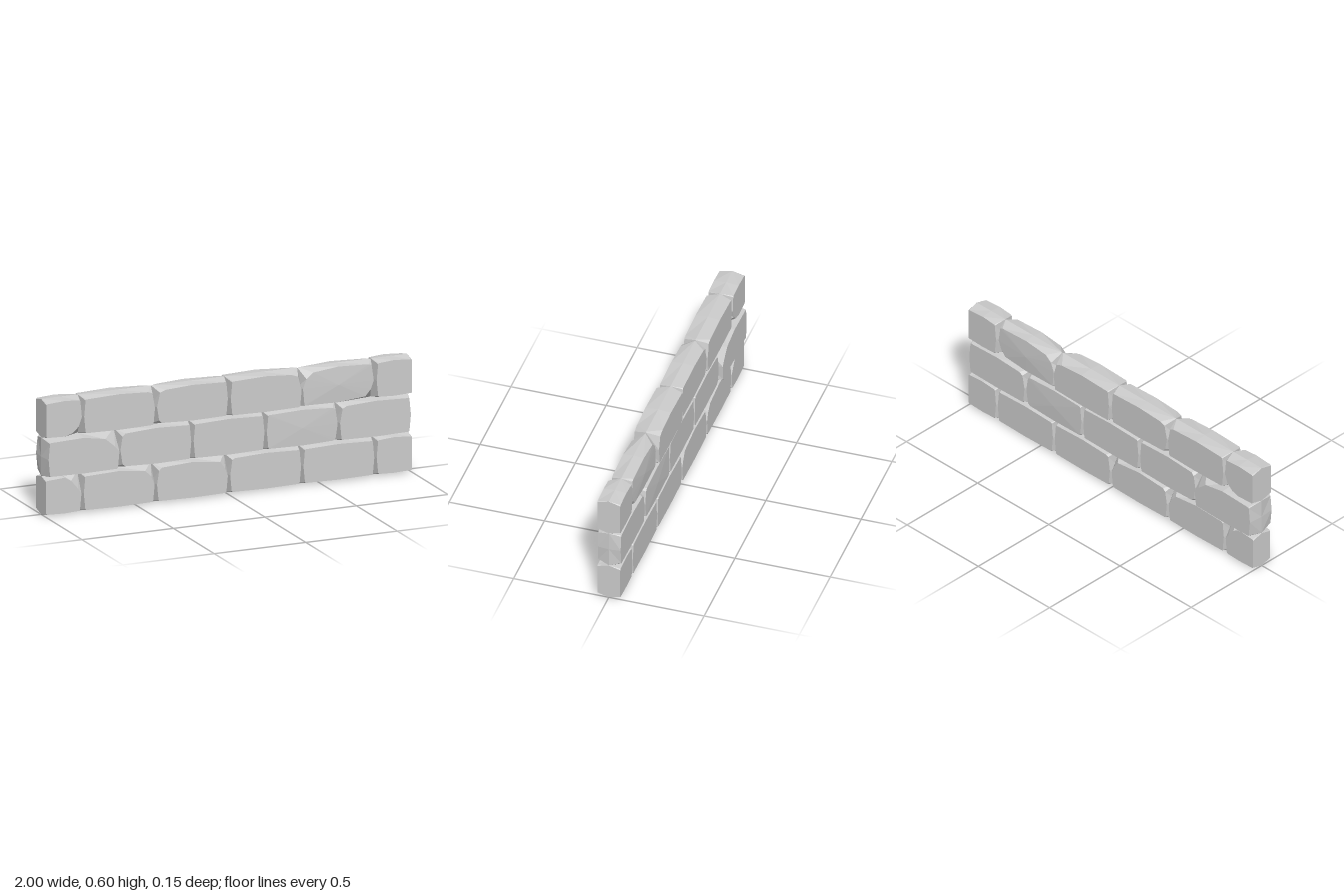
import * as THREE from 'three';

// One stone block: a full outline at z = 0 and inset faces at z = +-hz.
// chips: [cx, cy] cut from the tl, tr, bl, br corners of the faces.
function blockGeometry({ x0, x1, y0, y1, hz, swell = 0, flatL, flatR, chips = {} }) {
  const insetL = flatL ? 0 : 0.013, insetR = flatR ? 0 : 0.013, insetY = 0.011;
  const xm = (x0 + x1) / 2, ym = (y0 + y1) / 2;

  // twelve points, counter-clockwise: two per corner and one per side
  const outline = (k, z) => {
    const l = x0 + insetL * k, r = x1 - insetR * k;
    const b = y0 + insetY * k, t = y1 - insetY * k;
    const corner = (name, x, y, sx, sy) => {
      const [cx, cy] = chips[name] || [0.006, 0.006];
      const cut = k === 1 ? 1 : 0.12;
      const flat = (sx > 0 && flatL) || (sx < 0 && flatR);
      const dx = cx * cut, dy = cy * cut, f = flat ? 0 : 0.25;
      return {
        h: [x + sx * dx, y + sy * dy * 0.25],
        v: [x + sx * dx * f, y + sy * dy],
      };
    };
    const bl = corner('bl', l, b, 1, 1), br = corner('br', r, b, -1, 1);
    const tr = corner('tr', r, t, -1, -1), tl = corner('tl', l, t, 1, -1);
    return [
      bl.v, bl.h, [xm, b - 0.002 * k], br.h, br.v, [r + insetR * k * 0.5, ym],
      tr.v, tr.h, [xm, t + 0.005 * k], tl.h, tl.v, [l - insetL * k * 0.5, ym],
    ].map(([x, y]) => new THREE.Vector3(x, y, z));
  };

  const positions = [];
  const tri = (...points) => points.forEach((p) => positions.push(p.x, p.y, p.z));
  const middle = outline(0, 0);
  for (const side of [1, -1]) {
    const face = outline(1, side * hz);
    const centre = new THREE.Vector3(xm, ym, side * (hz + swell));
    const add = (a, b, c) => (side > 0 ? tri(a, b, c) : tri(a, c, b));
    for (let i = 0; i < 12; i++) {
      const j = (i + 1) % 12;
      add(centre, face[i], face[j]);
      add(face[i], middle[i], middle[j]);
      add(face[i], middle[j], face[j]);
    }
  }
  // flat cut ends close themselves because both outlines share the same x
  const geometry = new THREE.BufferGeometry();
  geometry.setAttribute('position', new THREE.Float32BufferAttribute(positions, 3));
  geometry.computeVertexNormals();
  return geometry;
}

export function createModel() {
  const wall = new THREE.Group();
  wall.name = 'stoneWall';
  const stone = new THREE.MeshStandardMaterial({ color: 0xcccccc });
  stone.name = 'light grey stone';
  stone.flatShading = true;

  const running = [-1, -0.8, -0.4, 0, 0.4, 0.8, 1];
  const offset = [-1, -0.6, -0.2, 0.2, 0.6, 1];
  const courses = [
    {
      name: 'bottomCourse', joints: running, cutEnds: true,
      blocks: [
        { hz: 0.06, chips: { tr: [0.05, 0.06] } },
        { hz: 0.06, chips: { tr: [0.045, 0.045] } },
        { hz: 0.06, chips: { tr: [0.035, 0.05], tl: [0.02, 0.02] } },
        { hz: 0.06, chips: { tl: [0.02, 0.01] } },
        { hz: 0.06 },
        { hz: 0.06 },
      ],
    },
    {
      name: 'middleCourse', joints: offset, cutEnds: false,
      blocks: [
        { hz: 0.077, chips: { tr: [0.07, 0.06] } },
        { hz: 0.06, chips: { tl: [0.02, 0.02], bl: [0.02, 0.015] } },
        { hz: 0.06 },
        { hz: 0.06, swell: 0.004, chips: { tr: [0.02, 0.015], br: [0.02, 0.015] } },
        { hz: 0.06, chips: { tl: [0.03, 0.015] } },
      ],
    },
    {
      name: 'topCourse', joints: running, cutEnds: true,
      blocks: [
        { hz: 0.065, chips: { br: [0.045, 0.04] } },
        { hz: 0.064, chips: { tr: [0.03, 0.012] } },
        { hz: 0.06, chips: { tl: [0.04, 0.015], bl: [0.02, 0.02] } },
        { hz: 0.067, chips: { tr: [0.05, 0.018] } },
        { hz: 0.054, swell: 0.006, chips: { tl: [0.05, 0.04], br: [0.04, 0.045], tr: [0.02, 0.01] } },
        { hz: 0.06 },
      ],
    },
  ];

  courses.forEach(({ name, joints, cutEnds, blocks }, row) => {
    const course = new THREE.Group();
    course.name = name;
    blocks.forEach((block, i) => {
      const geometry = blockGeometry({
        ...block,
        x0: joints[i], x1: joints[i + 1],
        y0: row * 0.2, y1: row * 0.2 + 0.2,
        flatL: cutEnds && i === 0,
        flatR: cutEnds && i === blocks.length - 1,
      });
      const mesh = new THREE.Mesh(geometry, stone);
      mesh.name = `block${i + 1}`;
      course.add(mesh);
    });
    wall.add(course);
  });
  return wall;
}
